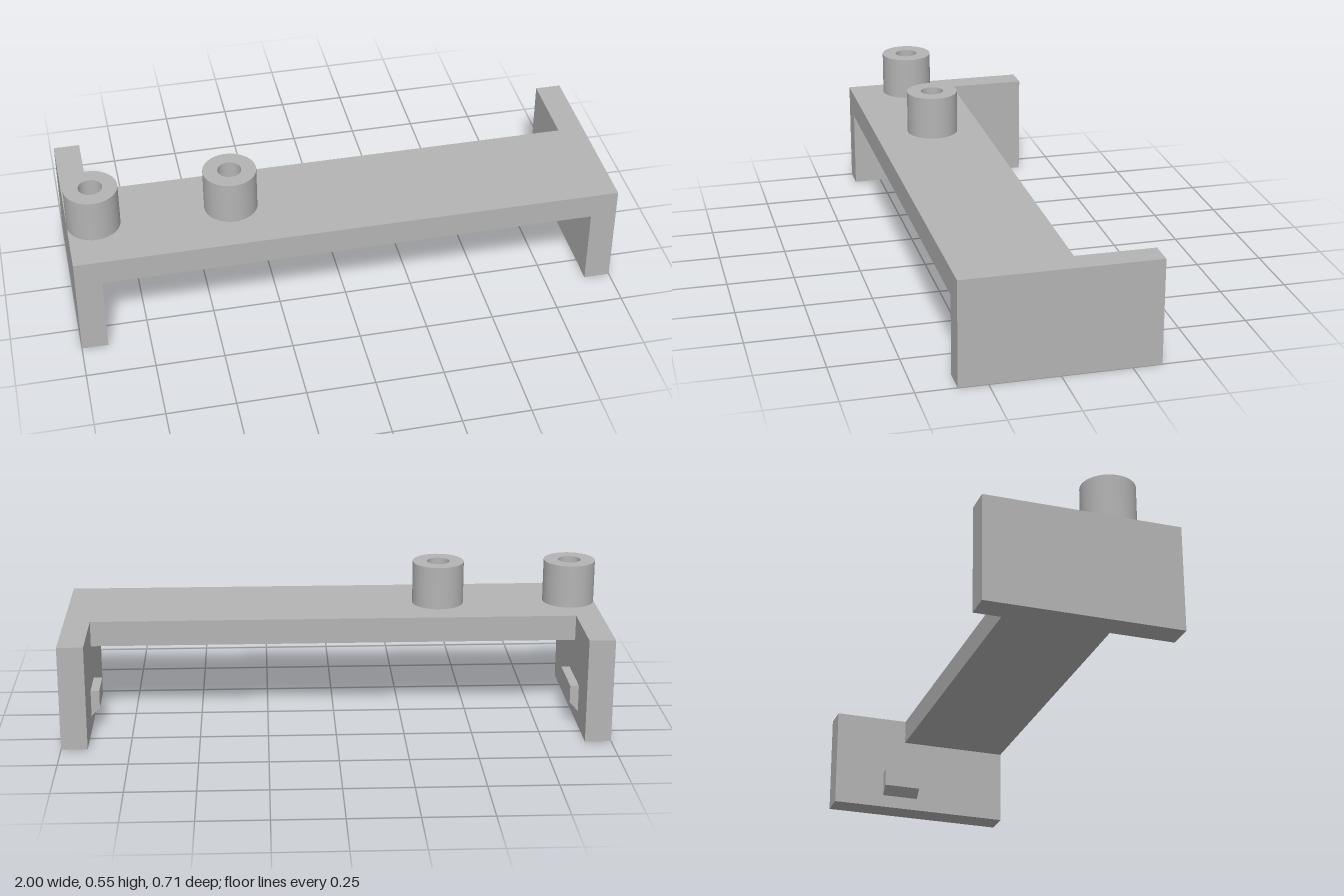
import * as THREE from 'three';

const grey = new THREE.MeshStandardMaterial({ color: 0xb4b4b4 });
grey.name = 'grey plastic';

// Extrudes an x-y outline from z0 to z1
function slab(name, points, z0, z1) {
  const shape = new THREE.Shape(points.map(([x, y]) => new THREE.Vector2(x, y)));
  const geometry = new THREE.ExtrudeGeometry(shape, { depth: z1 - z0, bevelEnabled: false });
  geometry.translate(0, 0, z0);
  const mesh = new THREE.Mesh(geometry, grey);
  mesh.name = name;
  return mesh;
}

// Hollow round post: outer wall, rim and bore as separate strips for crisp edges
function post(name, x) {
  const group = new THREE.Group();
  group.name = name;
  const outer = 0.097, bore = 0.043, height = 0.162;
  const strips = {
    wall: [[outer, 0], [outer, height]],
    rim: [[outer, height], [bore, height]],
    bore: [[bore, height], [bore, 0]],
    boreFloor: [[bore, 0.001], [0, 0.001]],
  };
  for (const [part, pts] of Object.entries(strips)) {
    const profile = pts.map(([r, y]) => new THREE.Vector2(r, y));
    const mesh = new THREE.Mesh(new THREE.LatheGeometry(profile, 48), grey);
    mesh.name = part;
    group.add(mesh);
  }
  group.position.set(x, 0.389, 0.13);
  return group;
}

export function createModel() {
  const model = new THREE.Group();
  model.name = 'bracket';
  const front = 0.355, back = -0.355, rail = -0.065;
  const top = 0.389, under = 0.294, inner = 0.904;

  // U-shaped front portion: bridge and the front of both legs
  model.add(slab('bridge', [
    [-1, 0], [-inner, 0], [-inner, under], [inner, under],
    [inner, 0], [1, 0], [1, top], [-1, top],
  ], rail, front));

  // Legs continue behind the bridge
  for (const [name, s] of [['leftLeg', 1], ['rightLeg', -1]]) {
    model.add(slab(name, [[s * inner, 0], [s, 0], [s, top], [s * inner, top]], back, rail));
  }

  // Snap catches with a chamfered lower edge on the inside of the legs
  const catches = [
    ['leftCatch', 1, 0.15, 0.05, -0.154, -0.01],
    ['rightCatch', -1, 0.155, 0.055, -0.186, 0.027],
  ];
  for (const [name, s, high, low, z0, z1] of catches) {
    const tip = inner - 0.032;
    model.add(slab(name, [
      [s * inner, low], [s * inner, high], [s * tip, high], [s * tip, low + 0.034],
    ], z0, z1));
  }

  // Two posts on the bridge
  model.add(post('outerPost', -0.903), post('innerPost', -0.403));
  return model;
}
